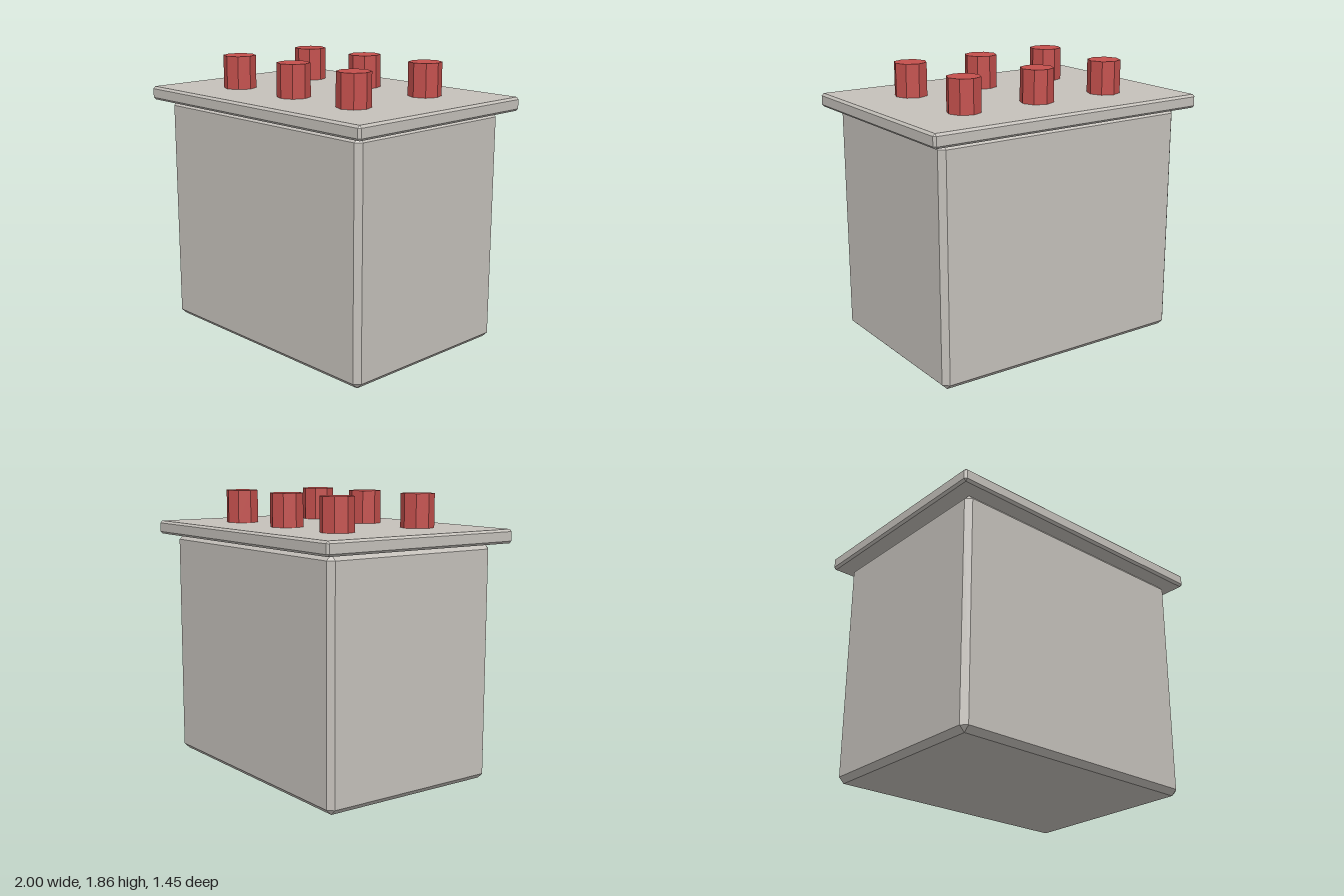
import * as THREE from 'three';
import { ConvexGeometry } from 'three/addons/geometries/ConvexGeometry.js';

// Box centred on the origin with every edge and corner cut by a flat chamfer
function chamferedBox(w, h, d, c) {
  const points = [];
  for (const sx of [-1, 1]) for (const sy of [-1, 1]) for (const sz of [-1, 1]) {
    const x = w / 2, y = h / 2, z = d / 2;
    points.push(
      new THREE.Vector3(sx * x, sy * (y - c), sz * (z - c)),
      new THREE.Vector3(sx * (x - c), sy * y, sz * (z - c)),
      new THREE.Vector3(sx * (x - c), sy * (y - c), sz * z)
    );
  }
  return new ConvexGeometry(points);
}

export function createModel() {
  const model = new THREE.Group();
  model.name = 'terminalBox';

  const casing = new THREE.MeshStandardMaterial({ color: 0xc5c1bb });
  casing.name = 'warm grey';
  const red = new THREE.MeshStandardMaterial({ color: 0xc4504d });
  red.name = 'red';
  casing.flatShading = red.flatShading = true;

  const add = (name, geometry, material, x, y, z) => {
    const mesh = new THREE.Mesh(geometry, material);
    mesh.name = name;
    mesh.position.set(x, y, z);
    model.add(mesh);
  };

  // Main body and overhanging lid
  const bodyTop = 1.548, lidTop = 1.638, postTop = 1.857;
  add('body', chamferedBox(1.814, bodyTop, 1.274, 0.036), casing, 0, bodyTop / 2, 0);
  add('lid', chamferedBox(2, lidTop - bodyTop, 1.448, 0.015), casing, 0, (bodyTop + lidTop) / 2, 0);

  // Two rows of three octagonal posts
  const postHeight = postTop - lidTop;
  const postGeometry = new THREE.CylinderGeometry(0.109, 0.109, postHeight, 8);
  for (const z of [-0.32, 0.32])
    for (const x of [-0.546, 0, 0.546])
      add('post', postGeometry, red, x, lidTop + postHeight / 2, z);

  return model;
}
